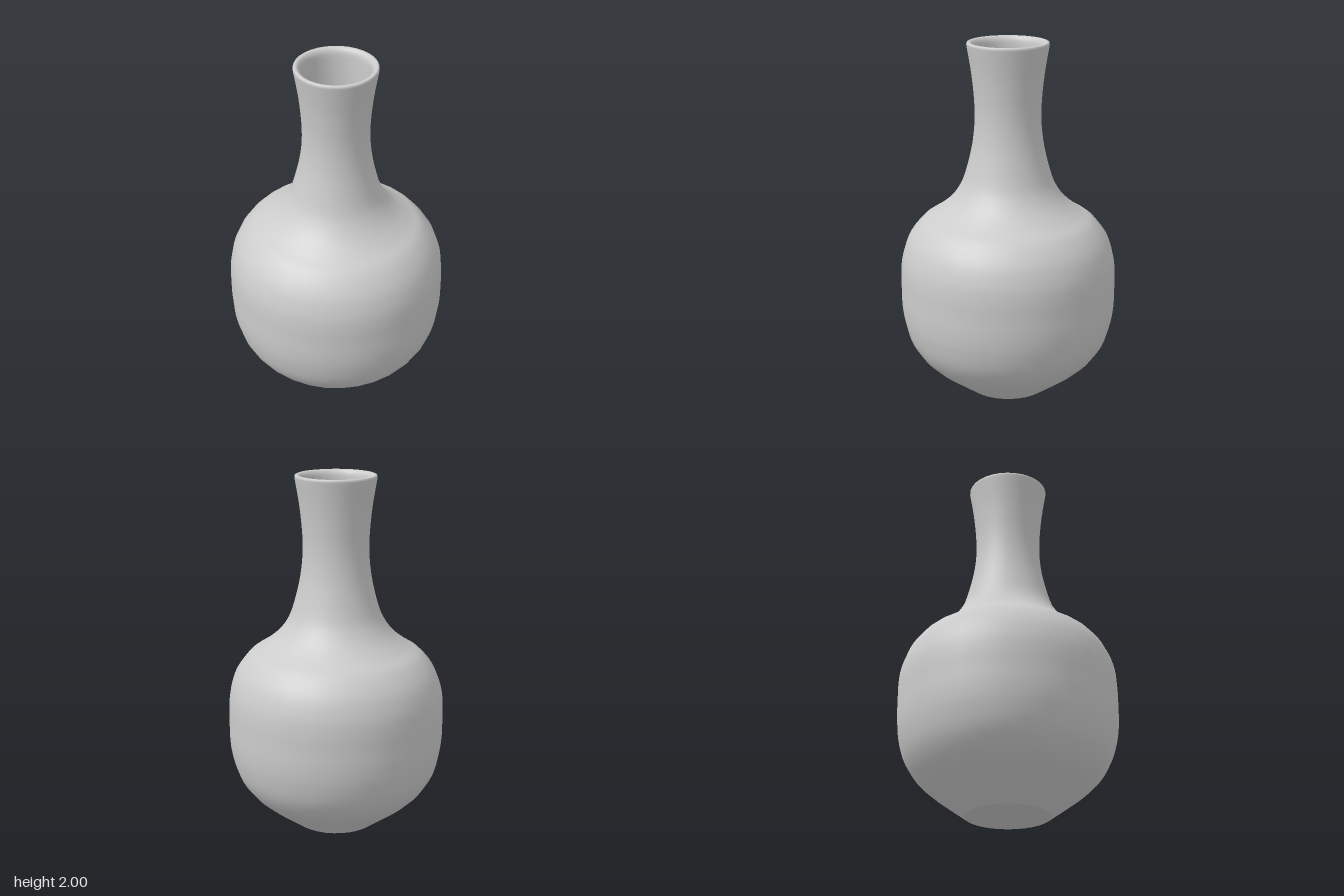
import * as THREE from 'three';

const SEGMENTS = 32;

// Smooth curve through [radius, height] pairs
function smoothProfile(pairs, divisions) {
  const curve = new THREE.SplineCurve(pairs.map(([r, y]) => new THREE.Vector2(r, y)));
  return curve.getPoints(divisions);
}

export function createModel() {
  const group = new THREE.Group();
  group.name = 'bottleVase';
  const material = new THREE.MeshStandardMaterial({ color: 0xcccccc, side: THREE.DoubleSide });

  const add = (name, geometry) => {
    const mesh = new THREE.Mesh(geometry, material);
    mesh.name = name;
    group.add(mesh);
    return mesh;
  };

  // Round belly, shoulder and slim flaring neck
  const outer = smoothProfile([
    [0.232, 0], [0.34, 0.078], [0.435, 0.15], [0.505, 0.22], [0.56, 0.31],
    [0.592, 0.42], [0.604, 0.52], [0.605, 0.62], [0.604, 0.72], [0.592, 0.81],
    [0.555, 0.91], [0.485, 1.0], [0.41, 1.05], [0.34, 1.105], [0.285, 1.17],
    [0.245, 1.25], [0.205, 1.4], [0.187, 1.52], [0.183, 1.62], [0.188, 1.72],
    [0.201, 1.84], [0.224, 1.98],
  ], 84);

  // Rounded lip turning over into the inside of the neck
  const lip = smoothProfile([
    [0.225, 1.988], [0.222, 1.997], [0.214, 2.0], [0.203, 1.997],
    [0.193, 1.985], [0.187, 1.965], [0.185, 1.92], [0.184, 1.8], [0.184, 1.68],
  ], 24);
  add('body', new THREE.LatheGeometry([...outer, ...lip], SEGMENTS));

  // Flat base, also the floor seen through the mouth
  const base = add('base', new THREE.CircleGeometry(0.232, SEGMENTS));
  base.rotation.x = Math.PI / 2;

  return group;
}
